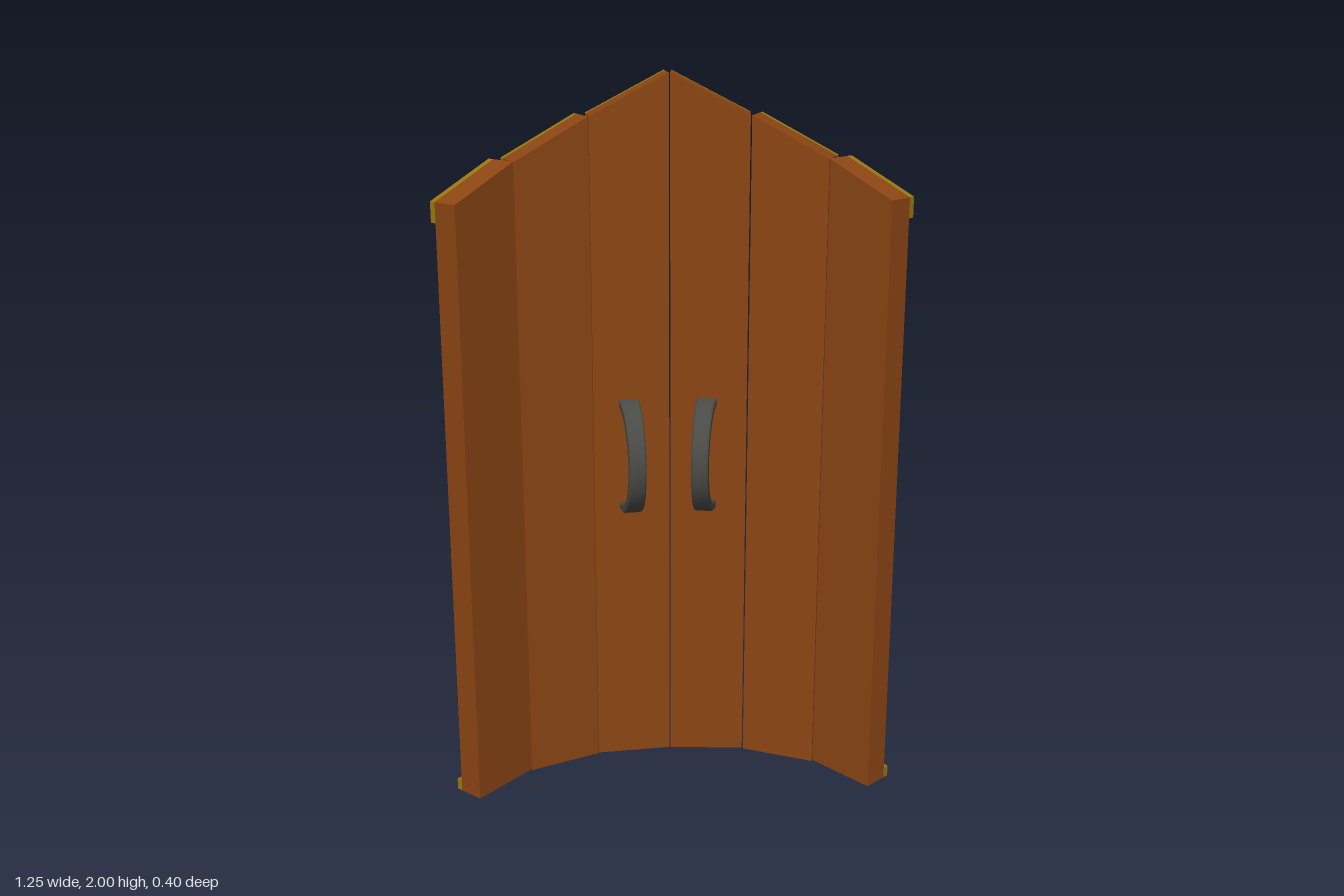
import * as THREE from 'three';
import { toCreasedNormals } from 'three/addons/utils/BufferGeometryUtils.js';

const wood = new THREE.MeshStandardMaterial({ color: 0x8b4513 });
const gold = new THREE.MeshStandardMaterial({ color: 0x93780f });
const iron = new THREE.MeshStandardMaterial({ color: 0x4a4a46 });

const BODY = 0.073, TRIM = 0.017;

// Slab with a straight bottom and a sloping top, extruded through its thickness
function slab(name, width, bottomL, bottomR, topL, topR, z, depth, material) {
  const shape = new THREE.Shape([
    new THREE.Vector2(0, bottomL), new THREE.Vector2(width, bottomR),
    new THREE.Vector2(width, topR), new THREE.Vector2(0, topL),
  ]);
  const geometry = new THREE.ExtrudeGeometry(shape, { depth, bevelEnabled: false });
  geometry.translate(0, 0, z);
  const mesh = new THREE.Mesh(geometry, material);
  mesh.name = name;
  return mesh;
}

// Plank standing on its back edge from (x0, z0) to (x1, z1), with metal bands on the back
function plank([x0, z0, x1, z1, topL, topR]) {
  const w = Math.hypot(x1 - x0, z1 - z0);
  const group = new THREE.Group();
  group.name = 'plank';
  group.position.set(x0, 0, z0);
  group.rotation.y = Math.atan2(z0 - z1, x1 - x0);
  group.add(
    slab('board', w, 0, 0, topL, topR, TRIM, BODY, wood),
    slab('topBand', w, topL - 0.055, topR - 0.055, topL, topR, 0, TRIM, gold),
    slab('bottomBand', w, 0, 0, 0.032, 0.032, 0, TRIM, gold),
  );
  return group;
}

// Bowed pull handle reaching from a base point on the door to a tip point
function handle(name, bx, bz, tx, tz) {
  const reach = Math.hypot(tx - bx, tz - bz), half = 0.165, thick = 0.026, bevel = 0.004;
  const shape = new THREE.Shape();
  const arc = (rx, ry, sign) => {
    for (let i = 0; i <= 20; i++) {
      const a = sign * (i / 20 - 0.5) * Math.PI;
      shape[i === 0 && sign > 0 ? 'moveTo' : 'lineTo'](rx * Math.cos(a), ry * Math.sin(a));
    }
  };
  arc(reach - bevel, half - bevel, 1);
  arc(reach - thick + bevel, half - thick + bevel, -1);
  const width = 0.047 - 2 * bevel;
  const geometry = new THREE.ExtrudeGeometry(shape, {
    depth: width, bevelSize: bevel, bevelThickness: bevel, bevelSegments: 1,
  });
  geometry.translate(0, 0, -width / 2);
  // Widen the band towards its feet
  const p = geometry.attributes.position;
  for (let i = 0; i < p.count; i++) {
    p.setZ(i, p.getZ(i) * (1 + 0.2 * (1 - p.getX(i) / reach)));
  }
  const mesh = new THREE.Mesh(toCreasedNormals(geometry, 0.5), iron);
  mesh.name = name;
  mesh.position.set(bx, 0.94, bz);
  mesh.rotation.y = Math.atan2(bz - tz, tx - bx);
  return mesh;
}

export function createModel() {
  const model = new THREE.Group();
  model.name = 'curvedDoubleDoor';

  // Back edge of each plank in plan, then its top height at either side
  const rightDoor = new THREE.Group();
  rightDoor.name = 'rightDoor';
  [
    [-0.624, 0.148, -0.494, -0.023, 1.70, 1.785],
    [-0.465, -0.04, -0.277, -0.147, 1.785, 1.89],
    [-0.248, -0.16, -0.037, -0.2, 1.89, 2],
  ].forEach((d) => rightDoor.add(plank(d)));
  rightDoor.add(handle('rightHandle', -0.133, -0.092, -0.1, 0.06));

  const leftDoor = new THREE.Group();
  leftDoor.name = 'leftDoor';
  [
    [-0.017, -0.202, 0.198, -0.202, 2, 1.89],
    [0.231, -0.193, 0.435, -0.122, 1.89, 1.785],
    [0.469, -0.11, 0.622, 0.041, 1.785, 1.70],
  ].forEach((d) => leftDoor.add(plank(d)));
  leftDoor.add(handle('leftHandle', 0.085, -0.114, 0.067, 0.046));

  model.add(rightDoor, leftDoor);
  return model;
}
